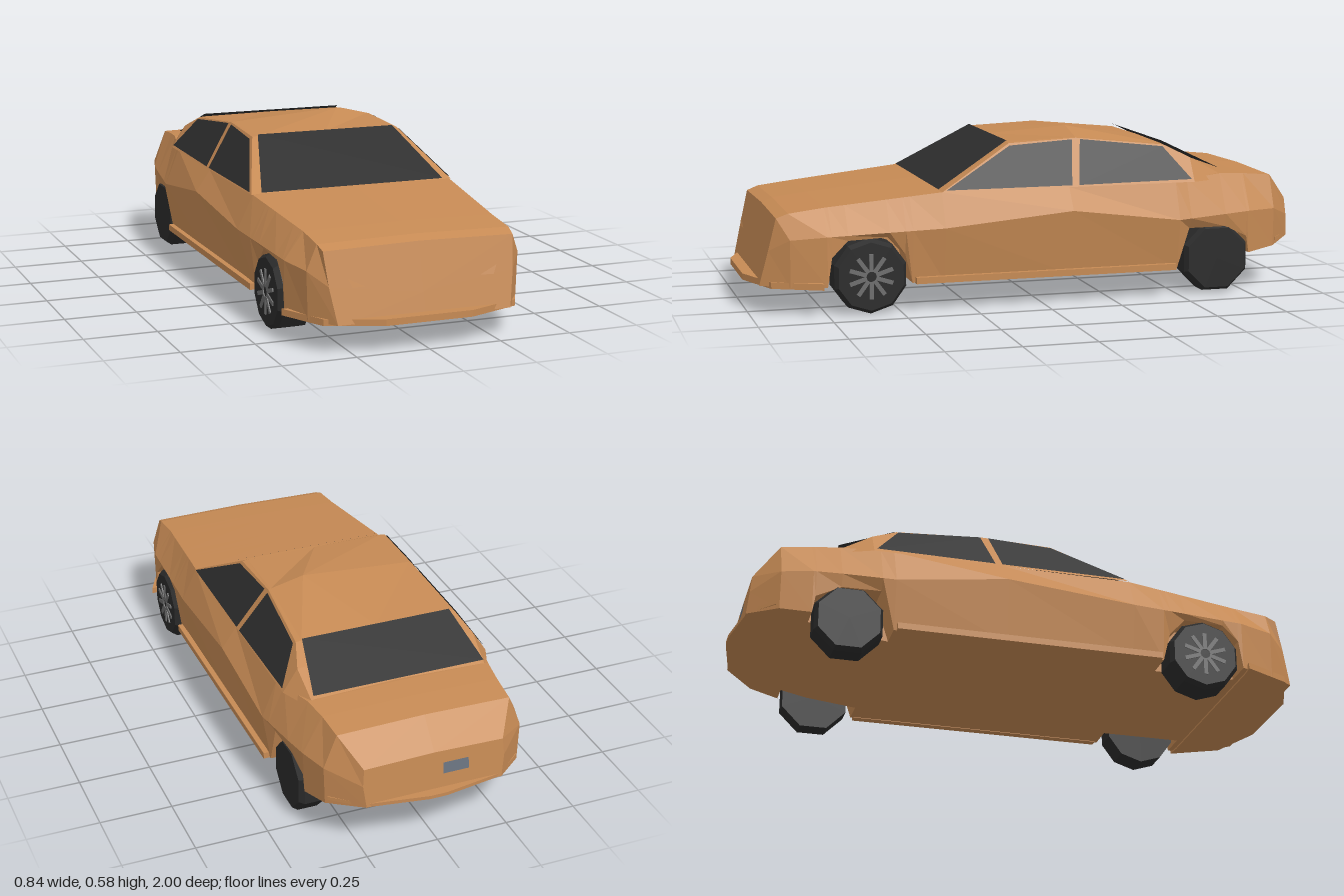
import * as THREE from 'three';

const paint = new THREE.MeshStandardMaterial({ color: 0xc68a54 });
paint.name = 'copper paint';
const glass = new THREE.MeshStandardMaterial({ color: 0x2e2e2e, side: THREE.DoubleSide });
glass.name = 'dark glass';
const rubber = new THREE.MeshStandardMaterial({ color: 0x2b2b2b });
rubber.name = 'tyre rubber';
const metal = new THREE.MeshStandardMaterial({ color: 0x6e6e6e });
metal.name = 'rim grey';
const plateGrey = new THREE.MeshStandardMaterial({ color: 0x6a7480, side: THREE.DoubleSide });
plateGrey.name = 'plate grey';

// Faceted geometry from a list of triangle corners
function facets(points) {
  const g = new THREE.BufferGeometry();
  g.setAttribute('position', new THREE.Float32BufferAttribute(points.flat(), 3));
  g.computeVertexNormals();
  return g;
}

function fan(pts) {
  const t = [];
  for (let i = 1; i < pts.length - 1; i++) t.push(pts[0], pts[i], pts[i + 1]);
  return facets(t);
}

// Skin between cross-sections ordered front to back; closed ones get end caps
function loft(rows, closed) {
  const t = [], n = rows[0].length;
  for (let i = 0; i < rows.length - 1; i++) {
    for (let j = 0; j < (closed ? n : n - 1); j++) {
      const k = (j + 1) % n;
      const a = rows[i][j], b = rows[i][k], c = rows[i + 1][j], d = rows[i + 1][k];
      t.push(a, c, b, b, c, d);
    }
  }
  const cap = (row, reversed) => {
    const mid = [0, 1, 2].map(q => row.reduce((s, p) => s + p[q], 0) / n);
    row.forEach((p, j) => {
      const r = row[(j + 1) % n];
      t.push(mid, ...(reversed ? [r, p] : [p, r]));
    });
  };
  if (closed) {
    cap(rows[0], false);
    cap(rows[rows.length - 1], true);
  }
  return facets(t);
}

const mirror = p => [-p[0], ...p.slice(1)];
const mirrored = pts => pts.map(mirror).reverse();

export function createModel() {
  const car = new THREE.Group();
  car.name = 'car';
  const add = (name, geometry, material, parent = car) => {
    const m = new THREE.Mesh(geometry, material);
    m.name = name;
    parent.add(m);
    return m;
  };

  // Lower body stations: z, floor y, sill x, shoulder x, shoulder y, deck x, deck y
  const stations = [
    [0.965, 0.10, 0.30, 0.32, 0.22, 0.33, 0.33],
    [0.87, 0.10, 0.365, 0.37, 0.26, 0.335, 0.345],
    [0.75, 0.10, 0.40, 0.40, 0.27, 0.335, 0.36],
    [0.35, 0.10, 0.39, 0.42, 0.285, 0.365, 0.40],
    [-0.10, 0.10, 0.39, 0.422, 0.325, 0.37, 0.40],
    [-0.49, 0.10, 0.39, 0.418, 0.275, 0.366, 0.405],
    [-0.67, 0.12, 0.385, 0.395, 0.285, 0.325, 0.42],
    [-0.765, 0.14, 0.375, 0.38, 0.29, 0.312, 0.415],
    [-0.87, 0.155, 0.345, 0.35, 0.29, 0.305, 0.405],
    [-0.975, 0.172, 0.24, 0.25, 0.25, 0.245, 0.31],
  ];
  // Wheel arch sections as [z, arch height], shaped by interpolating the stations
  const arches = [[0.735, 0.20], [0.68, 0.255], [0.54, 0.26], [0.485, 0.20], [0.46, 0.10],
    [-0.535, 0.24], [-0.67, 0.24], [-0.755, 0.20]];
  const stationAt = z => {
    const i = stations.findIndex(s => s[0] <= z);
    const a = stations[i - 1], b = stations[i], f = (a[0] - z) / (a[0] - b[0]);
    return a.map((v, q) => v + (b[q] - v) * f);
  };
  const plain = stations.filter(s => arches.every(a => a[0] !== s[0])).map(s => [...s, s[1]]);
  const arched = arches.map(([z, y]) => [...stationAt(z), y]);
  const last = stations.length - 1;
  const bodyRows = [...plain, ...arched].sort((a, b) => b[0] - a[0])
    .map(([z, yf, xs, xm, ym, xt, yt, yw]) => {
      const xi = Math.min(0.295, xs - 0.02);
      const half = [[xi, yf], [xi, yw], [xs, yw], [xm, ym], [xt, yt]];
      const loop = [[0, yf], ...half, [0, yt + 0.006], ...mirrored(half)];
      // The nose leans back and the tail leans forward
      const lean = z === stations[0][0] ? 0.24 : z === stations[last][0] ? -0.1 : 0;
      return loop.map(([x, y]) => [x, y, z - lean * (y - 0.1)]);
    });
  add('body', loft(bodyRows, true), paint);

  // Cabin: z, base x, roof edge y, screen edge x, crown x, crown y
  const sideX = (base, y) => base - 0.65 * (y - 0.4);
  const cabinRows = [
    [0.35, 0.37, 0.40, 0.335, 0, 0.40],
    [0.09, 0.37, 0.547, 0.255, 0, 0.55],
    [-0.155, 0.37, 0.557, 0.26, 0.14, 0.587],
    [-0.47, 0.37, 0.525, 0.268, 0, 0.53],
    [-0.56, 0.37, 0.48, 0.288, 0, 0.486],
    [-0.67, 0.325, 0.42, 0.302, 0, 0.432],
  ].map(([z, base, ye, xi, xc, yc]) => {
    const half = [[base, 0.4, z], [sideX(base, ye), ye, z], [xi, ye + 0.002, z]];
    return [...half, [xc, yc, z], ...mirrored(half)];
  });
  add('cabin', loft(cabinRows, false), paint);

  // Front and rear screens
  const screen = (name, x0, y0, z0, x1, y1, z1) =>
    add(name, fan([[x0, y0, z0], [x1, y1, z1], [-x1, y1, z1], [-x0, y0, z0]]), glass);
  screen('windshield', 0.335, 0.406, 0.355, 0.255, 0.555, 0.093);
  screen('rearWindow', 0.268, 0.536, -0.473, 0.306, 0.438, -0.673);

  // Side windows lie just outside the slanted cabin side, outlined as [z, y]
  const windows = {
    frontSideWindow: [[0.335, 0.406], [-0.11, 0.406], [-0.138, 0.553], [0.09, 0.54]],
    rearSideWindow: [[-0.135, 0.406], [-0.55, 0.41], [-0.465, 0.52], [-0.167, 0.553]],
  };
  for (const [name, outline] of Object.entries(windows)) {
    const pts = outline.map(([z, y]) => [sideX(0.375, y), y, z]);
    add(name + 'Left', fan(pts), glass);
    add(name + 'Right', fan(mirrored(pts)), glass);
  }

  // Flat bumper lips cut from a plan outline of [x, z] points
  const lip = (name, half, y, depth) => {
    const outline = [...half, ...mirrored(half)];
    const shape = new THREE.Shape(outline.map(([x, z]) => new THREE.Vector2(x, -z)));
    const g = new THREE.ExtrudeGeometry(shape, { depth, bevelEnabled: false });
    g.rotateX(-Math.PI / 2);
    g.translate(0, y, 0);
    add(name, g, paint);
  };
  lip('frontLip', [[0.36, 0.77], [0.415, 0.765], [0.335, 0.93], [0.15, 1.0]], 0.094, 0.022);
  lip('rearLip', [[0.03, -1.0], [0.24, -0.965], [0.34, -0.88]], 0.172, 0.012);

  // Grey plate on the tail
  const tailPlate = add('tailPlate', new THREE.PlaneGeometry(0.09, 0.04), plateGrey);
  tailPlate.position.set(-0.075, 0.255, -0.964);
  tailPlate.rotation.set(0.1, Math.PI, 0);

  // Wheels: chamfered low-poly tyres; front ones carry spoked rims
  const wheel = (name, s, z, outer, r, sides, rim) => {
    const g = new THREE.Group();
    g.name = name;
    g.position.set(0, r + 0.003, z);
    car.add(g);
    const profile = [[0, 0.302], [r, 0.302], [r, outer - 0.018], [r * 0.9, outer], [0, outer]];
    const tyre = new THREE.LatheGeometry(profile.map(p => new THREE.Vector2(...p)), sides).toNonIndexed();
    tyre.computeVertexNormals();
    tyre.rotateY(Math.PI / sides);
    tyre.rotateZ(-s * Math.PI / 2);
    add('tyre', tyre, rubber, g);
    for (let i = 0; rim && i < 10; i++) {
      const spoke = new THREE.BoxGeometry(0.006, 0.06, 0.014);
      spoke.translate(0, 0.047, 0);
      spoke.rotateX(i * Math.PI / 5);
      spoke.translate(s * (outer + 0.001), 0, 0);
      add('spoke', spoke, metal, g);
    }
  };

  // Sills, nose fins and wheels on both sides
  const fin = [[0.2, 0.214, 0.944], [0.245, 0.214, 0.95], [0.258, 0.243, 0.943]];
  for (const s of [1, -1]) {
    const side = s > 0 ? 'Left' : 'Right';
    const sill = add('sill' + side, new THREE.BoxGeometry(0.03, 0.022, 0.93), paint);
    sill.position.set(s * 0.397, 0.109, -0.015);
    add('noseFin' + side, fan(s > 0 ? fin : mirrored(fin)), paint);
    wheel('frontWheel' + side, s, 0.605, 0.411, 0.129, 10, true);
    wheel('rearWheel' + side, s, -0.64, 0.388, 0.126, 8, false);
  }
  return car;
}
